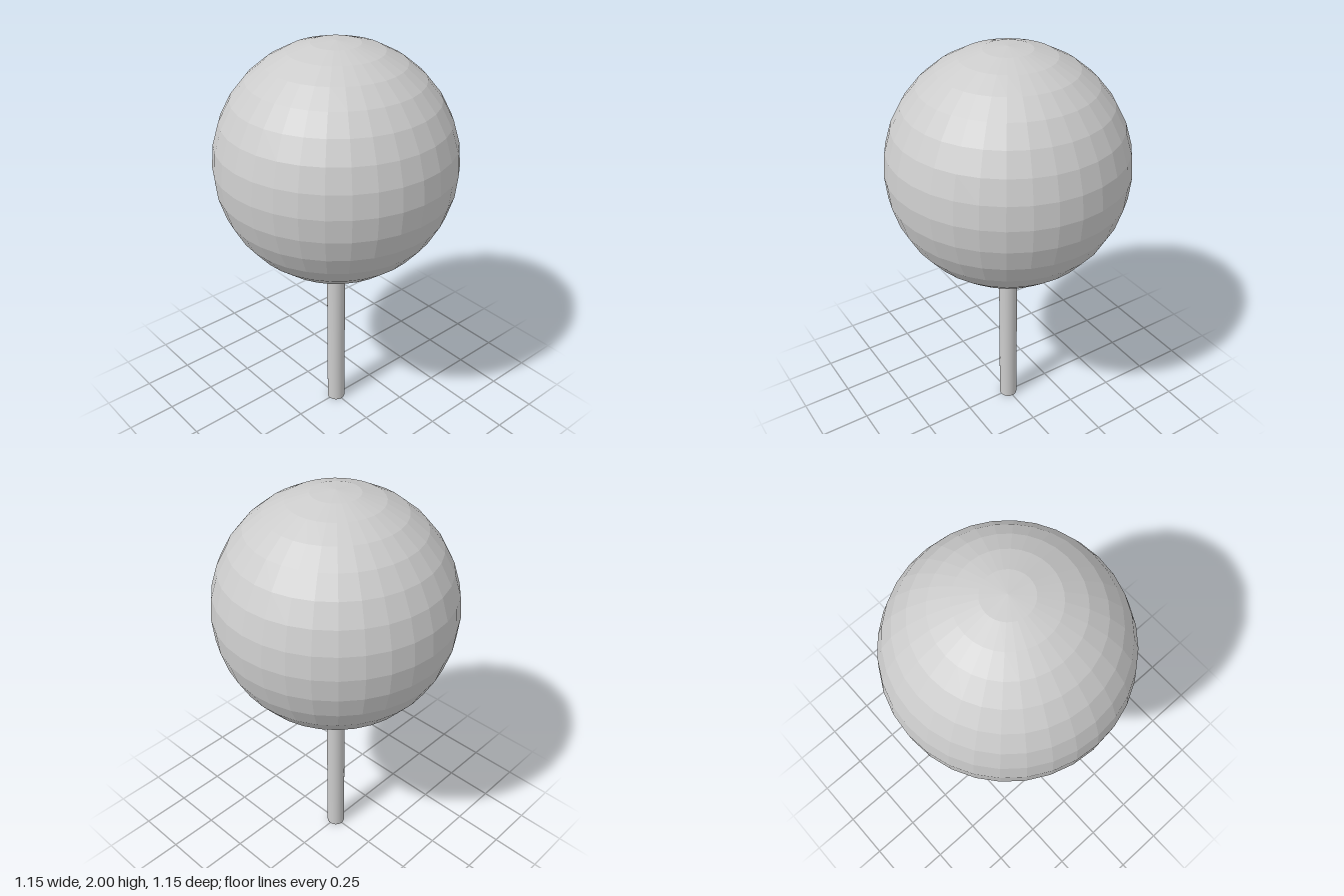
import * as THREE from 'three';

export function createModel() {
  const model = new THREE.Group();
  const radius = 0.574;
  const stickHeight = 0.9;

  // Faceted ball
  const ball = new THREE.Mesh(
    new THREE.SphereGeometry(radius, 32, 16),
    new THREE.MeshStandardMaterial({ color: 0xcccccc, flatShading: true })
  );
  ball.name = 'ball';
  ball.position.y = 2 - radius;

  // Smooth round stick, its top end sunk into the ball
  const stick = new THREE.Mesh(
    new THREE.CylinderGeometry(0.046, 0.046, stickHeight, 32),
    new THREE.MeshStandardMaterial({ color: 0xcccccc })
  );
  stick.name = 'stick';
  stick.position.y = stickHeight / 2;

  model.add(ball, stick);
  return model;
}
